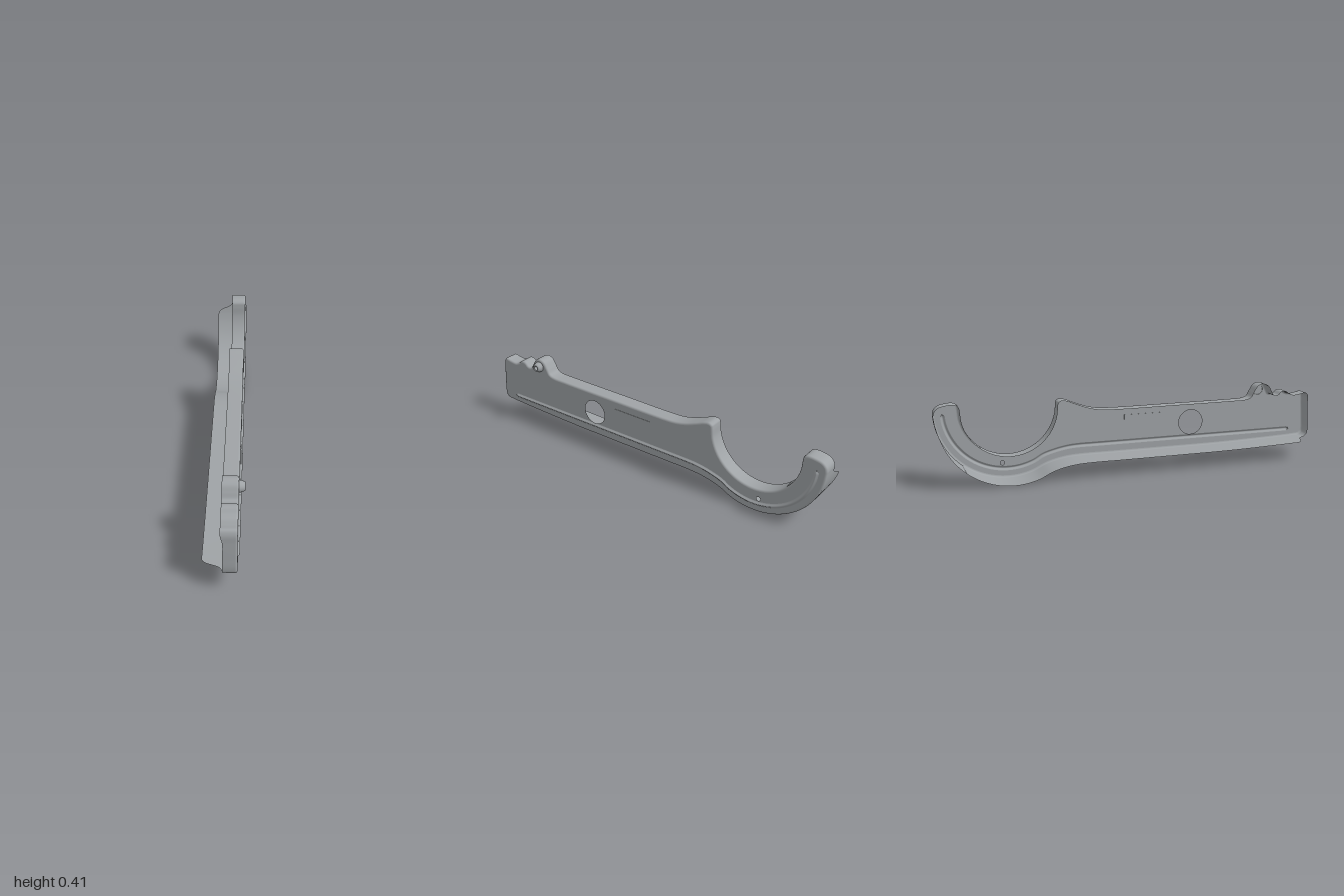
import * as THREE from 'three';

// Local frame: X runs from front to rear, Y up, Z out of the plate face.
const FACE = 0.065, ROUND = 0.01, TOP = -0.01, LOW = -0.094;
const HOOK = { x: 0.635, y: 0.365 };

// point on a circle about the hook centre; 0 = rear, 90 = bottom, 180 = front
function onHook(r, deg, depth = 0) {
  const a = THREE.MathUtils.degToRad(deg);
  return new THREE.Vector3(HOOK.x + r * Math.cos(a), HOOK.y - r * Math.sin(a), depth);
}

// Outline control points; the third number is how far back the wall reaches
function outlinePoints() {
  const p = [];
  const add = (depth, list) => list.forEach(([x, y]) => p.push(new THREE.Vector3(x, y, depth)));
  // top edge with the front lobes
  add(TOP, [[-0.976, 0.345], [-0.94, 0.34], [-0.9, 0.336], [-0.877, 0.345], [-0.855, 0.361], [-0.83, 0.36],
    [-0.808, 0.342], [-0.785, 0.342], [-0.768, 0.37], [-0.75, 0.397], [-0.72, 0.409], [-0.69, 0.399],
    [-0.668, 0.367], [-0.65, 0.338], [-0.62, 0.328], [-0.55, 0.326], [-0.2, 0.325], [0.1, 0.325],
    [0.18, 0.329], [0.24, 0.342], [0.3, 0.364], [0.35, 0.384], [0.375, 0.388], [0.391, 0.38]]);
  // inside of the hook
  for (let a = 180; a >= 0; a -= 12) p.push(onHook(0.24, a, TOP));
  add(TOP, [[0.88, 0.388], [0.9, 0.4], [0.94, 0.399], [0.975, 0.39], [0.994, 0.372]]);
  // outside of the hook, the wall widening below the tip
  [[2, TOP], [5, TOP], [8, -0.02], [10, -0.04], [12, -0.07], [14, -0.086], [17, LOW]]
    .forEach(([a, d]) => p.push(onHook(0.365, a, d)));
  for (let a = 25; a <= 121; a += 12) p.push(onHook(0.365, a, LOW));
  // bottom edge
  add(LOW, [[0.39, 0.069], [0.33, 0.079], [0.26, 0.083], [0.1, 0.083], [-0.2, 0.083], [-0.5, 0.084],
    [-0.75, 0.09], [-0.87, 0.094], [-0.9, 0.095]]);
  add(-0.08, [[-0.92, 0.096]]);
  add(-0.015, [[-0.95, 0.098]]);
  // front edge
  add(0, [[-0.978, 0.101], [-0.995, 0.115], [-1, 0.14], [-0.998, 0.2], [-0.993, 0.28]]);
  add(TOP, [[-0.989, 0.325]]);
  return p;
}

// unit normals, left of the travel direction
function normals2D(pts, closed) {
  const n = pts.length;
  return pts.map((_, i) => {
    const a = closed ? pts[(i + n - 1) % n] : pts[Math.max(i - 1, 0)];
    const b = closed ? pts[(i + 1) % n] : pts[Math.min(i + 1, n - 1)];
    return new THREE.Vector2(-(b.y - a.y), b.x - a.x).normalize();
  });
}

// smooth skin over rows of equal length
function skin(rows, closed) {
  const n = rows[0].length, pos = [], idx = [];
  rows.forEach(r => r.forEach(v => pos.push(v.x, v.y, v.z)));
  for (let j = 0; j < rows.length - 1; j++) {
    for (let i = 0; i < (closed ? n : n - 1); i++) {
      const a = j * n + i, b = j * n + (i + 1) % n, c = a + n, d = b + n;
      idx.push(a, b, c, b, d, c);
    }
  }
  const g = new THREE.BufferGeometry();
  g.setAttribute('position', new THREE.Float32BufferAttribute(pos, 3));
  g.setIndex(idx);
  g.computeVertexNormals();
  return g;
}

export function createModel() {
  const metal = new THREE.MeshStandardMaterial({ color: 0x9fa3a6, side: THREE.DoubleSide });
  metal.name = 'grey metal';
  const body = new THREE.Group();
  body.name = 'bracket';
  const add = (name, geo) => {
    const m = new THREE.Mesh(geo, metal);
    m.name = name;
    body.add(m);
    return m;
  };

  // rim wall: rounded edge, then straight back to the varying depth
  const ctrl = outlinePoints();
  const edge = new THREE.CatmullRomCurve3(ctrl, true).getPoints(ctrl.length * 7).slice(0, -1);
  const en = normals2D(edge, true);
  const ring = (inset, z) => edge.map((p, i) =>
    new THREE.Vector3(p.x - en[i].x * inset, p.y - en[i].y * inset, z === null ? p.z : z));
  const rows = [];
  for (let k = 0; k <= 4; k++) {
    const a = k / 4 * Math.PI / 2;
    rows.push(ring(ROUND * (1 - Math.sin(a)), FACE - ROUND * (1 - Math.cos(a))));
  }
  rows.push(ring(0, null));
  add('rimWall', skin(rows, true));

  // raised bead following the lower edge and the hook
  const path = [[-0.915, 0.136], [-0.905, 0.136], [-0.88, 0.136], [-0.6, 0.136], [-0.2, 0.136], [0.2, 0.136],
    [0.27, 0.136], [0.33, 0.132], [0.39, 0.121]].map(([x, y]) => new THREE.Vector3(x, y, 0));
  for (let a = 124; a >= 4; a -= 10) path.push(onHook(0.318, a));
  const line = new THREE.CatmullRomCurve3(path).getPoints(path.length * 8);
  const ln = normals2D(line, false);
  const last = line.length - 1, W = 0.012, H = 0.008;
  const taper = line.map(p => Math.max(0.02, Math.sqrt(Math.min(1,
    Math.min(p.distanceTo(line[0]), p.distanceTo(line[last])) / W))));
  const strip = u => line.map((p, i) => new THREE.Vector3(
    p.x + ln[i].x * u * W * taper[i], p.y + ln[i].y * u * W * taper[i],
    FACE + H * taper[i] * Math.cos(u * Math.PI / 2) ** 2));
  add('bead', skin([1, 0.75, 0.5, 0.25, 0, -0.25, -0.5, -0.75, -1].map(strip), false));

  // side plate with its openings
  const flat = pts => pts.map(p => new THREE.Vector2(p.x, p.y));
  const plate = new THREE.Shape(flat(rows[0]));
  plate.holes.push(new THREE.Path(flat([...strip(1), ...strip(-1).reverse()])));
  [[-0.337, 0.214, 0.066], [0.668, 0.076, 0.011]].forEach(([x, y, r]) =>
    plate.holes.push(new THREE.Path().absarc(x, y, r, 0, Math.PI * 2, true)));
  add('sidePlate', new THREE.ShapeGeometry(plate, 24).translate(0, 0, FACE));

  // shallow raised panel
  add('raisedPanel', new THREE.BoxGeometry(0.23, 0.116, 0.003)).position.set(-0.085, 0.22, FACE);

  // hollow tapered stud on the front lobe
  const stud = [[0.029, -0.002], [0.027, 0.007], [0.022, 0.022], [0.019, 0.027], [0.013, 0.027], [0.011, 0.024],
    [0.011, 0.008], [0, 0.008]].map(([r, h]) => new THREE.Vector2(r, h));
  add('stud', new THREE.LatheGeometry(stud, 32).rotateX(Math.PI / 2)).position.set(-0.722, 0.367, FACE);

  // turn the plate face towards +x, front towards +z
  body.rotation.y = Math.PI / 2;
  const model = new THREE.Group();
  model.name = 'sheetMetalBracket';
  model.add(body);
  return model;
}
